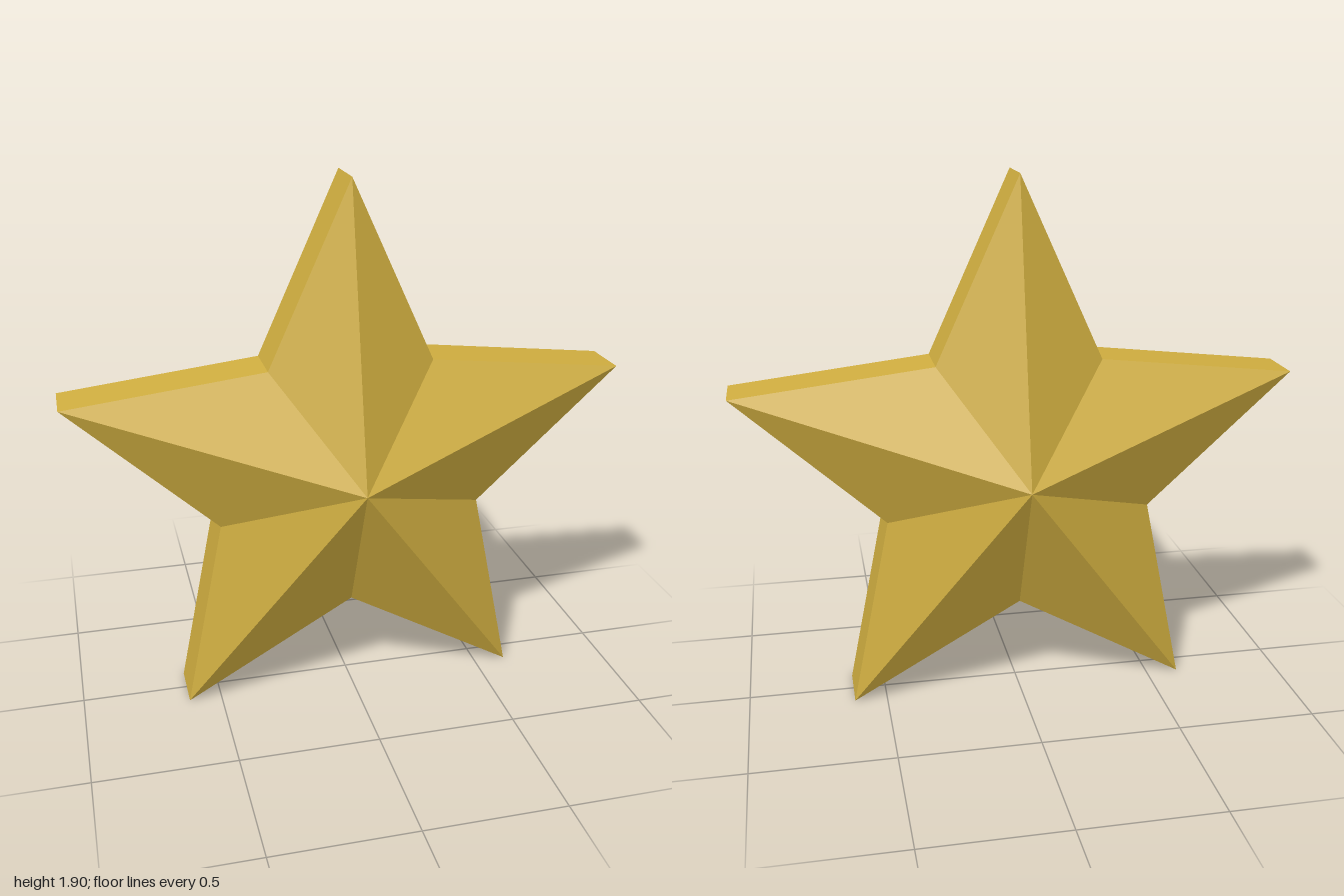
import * as THREE from 'three';

const CENTER_Y = 0.851, OUTER = 1.0515, INNER = 0.501;
const RIM_Z = 0.095, APEX_Z = 0.315;

// Outline corner i of the five-pointed star, counterclockwise from the top tip
function corner(i, z) {
  const a = Math.PI / 2 + (i * Math.PI) / 5;
  const r = i % 2 === 0 ? OUTER : INNER;
  return [r * Math.cos(a), CENTER_Y + r * Math.sin(a), z];
}

function facetMesh(name, triangles, material) {
  const geometry = new THREE.BufferGeometry();
  geometry.setAttribute('position', new THREE.Float32BufferAttribute(triangles.flat(2), 3));
  geometry.computeVertexNormals();
  const mesh = new THREE.Mesh(geometry, material);
  mesh.name = name;
  return mesh;
}

export function createModel() {
  const gold = new THREE.MeshStandardMaterial({ color: 0xd0ae40, flatShading: true });
  gold.name = 'gold';

  const front = [], back = [], rim = [];
  const frontApex = [0, CENTER_Y, APEX_Z], backApex = [0, CENTER_Y, -APEX_Z];
  for (let i = 0; i < 10; i++) {
    const a = corner(i, RIM_Z), b = corner(i + 1, RIM_Z);
    const c = corner(i, -RIM_Z), d = corner(i + 1, -RIM_Z);
    front.push([frontApex, a, b]);
    back.push([backApex, d, c]);
    rim.push([a, c, d], [a, d, b]);
  }

  const star = new THREE.Group();
  star.name = 'star';
  star.add(
    facetMesh('frontFacets', front, gold),
    facetMesh('backFacets', back, gold),
    facetMesh('rim', rim, gold),
  );
  return star;
}
